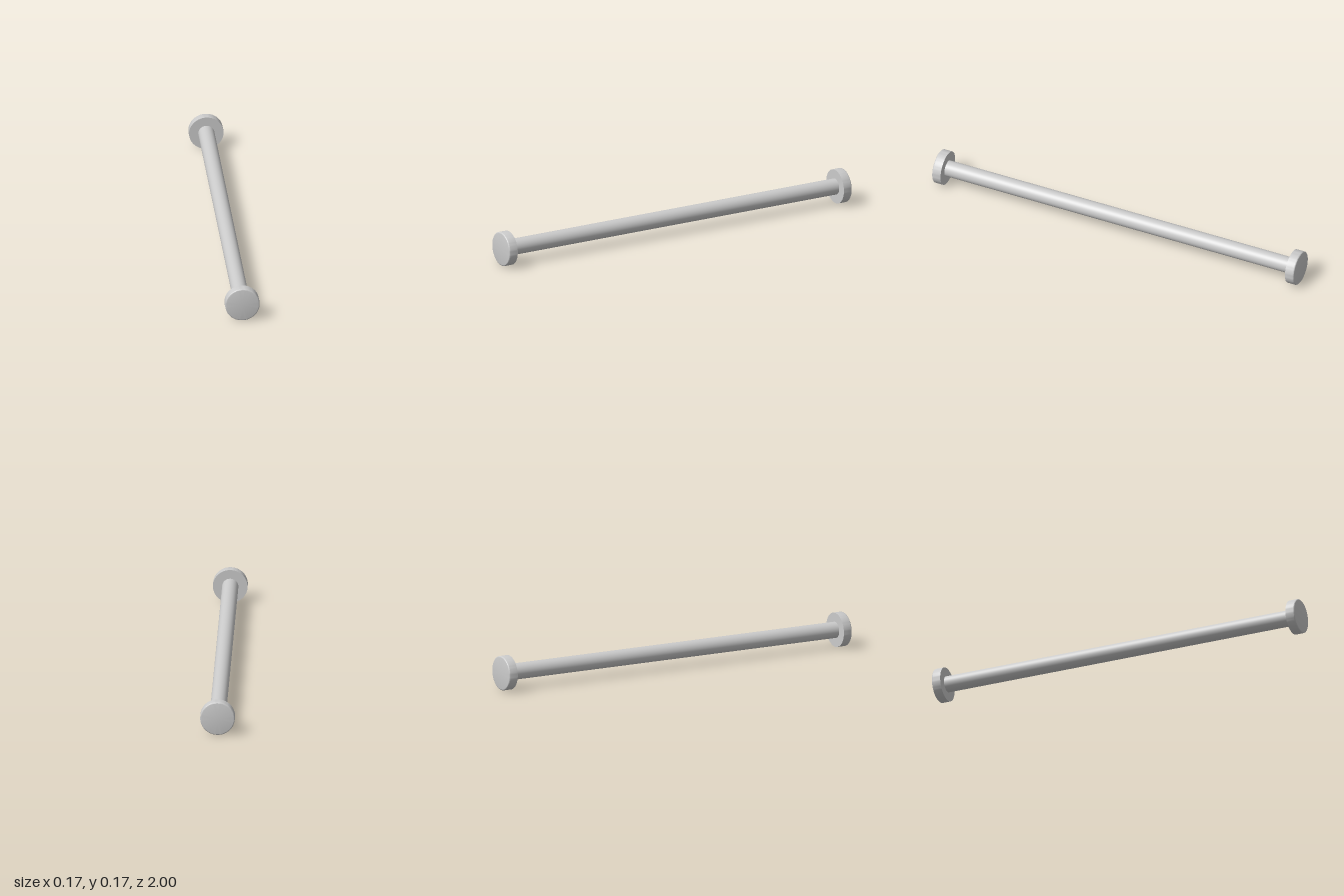
import * as THREE from 'three';
import { toCreasedNormals } from 'three/addons/utils/BufferGeometryUtils.js';

const ROD_R = 0.041, CAP_R = 0.087, CAP_T = 0.048, FILLET = 0.006, SIDES = 64;

// End cap profile: flat inner ring, straight rim, small rounded outer edge, flat outer face
function capGeometry() {
  const points = [
    new THREE.Vector2(ROD_R, 0),
    new THREE.Vector2(CAP_R, 0),
  ];
  const steps = 4;
  for (let i = 0; i <= steps; i++) {
    const a = (i / steps) * Math.PI / 2;
    points.push(new THREE.Vector2(
      CAP_R - FILLET + FILLET * Math.cos(a),
      CAP_T - FILLET + FILLET * Math.sin(a),
    ));
  }
  points.push(new THREE.Vector2(0, CAP_T));
  const geometry = new THREE.LatheGeometry(points, SIDES);
  geometry.rotateX(Math.PI / 2); // axis along +z
  return toCreasedNormals(geometry, Math.PI / 6);
}

export function createModel() {
  const group = new THREE.Group();
  group.name = 'cappedRod';
  const material = new THREE.MeshStandardMaterial({ color: 0xcccccc });

  // Long round shaft between the caps
  const inner = 1 - CAP_T;
  const shaftGeometry = new THREE.CylinderGeometry(ROD_R, ROD_R, inner * 2, SIDES, 1, true);
  shaftGeometry.rotateX(Math.PI / 2);
  const shaft = new THREE.Mesh(shaftGeometry, material);
  shaft.name = 'shaft';
  shaft.position.y = CAP_R;
  group.add(shaft);

  // Matching caps at both ends
  const geometry = capGeometry();
  for (const side of [1, -1]) {
    const cap = new THREE.Mesh(geometry, material);
    cap.name = side > 0 ? 'frontCap' : 'backCap';
    cap.position.set(0, CAP_R, side * inner);
    if (side < 0) cap.rotation.y = Math.PI;
    group.add(cap);
  }
  return group;
}
